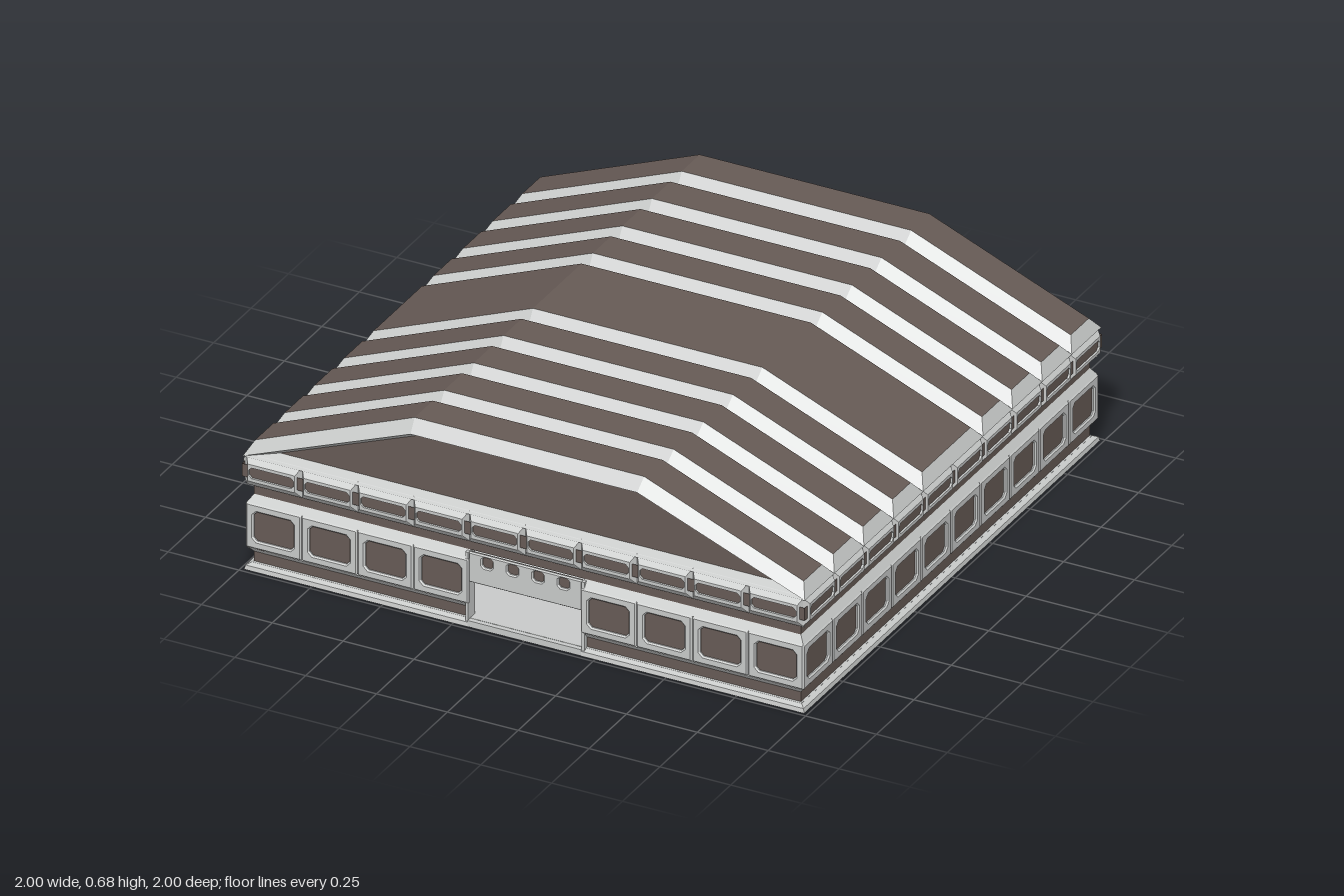
import * as THREE from 'three';

const grey = new THREE.MeshStandardMaterial({ color: 0xc8cac9, side: THREE.DoubleSide, flatShading: true });
grey.name = 'pale grey';
const brown = new THREE.MeshStandardMaterial({ color: 0x665a55, side: THREE.DoubleSide, flatShading: true });
brown.name = 'dark brown';

const DOOR = 0.2; // half width of the doorways

// Mesh made of separate four-cornered faces
function quadMesh(name, quads, mat) {
  const pos = [];
  for (const [a, b, c, d] of quads) pos.push(...a, ...b, ...c, ...a, ...c, ...d);
  const g = new THREE.BufferGeometry();
  g.setAttribute('position', new THREE.Float32BufferAttribute(pos, 3));
  g.computeVertexNormals();
  const m = new THREE.Mesh(g, mat);
  m.name = name;
  return m;
}

// Mitred wall band between two [distance, height] points, optionally leaving the doorway open
function band(name, [d0, y0], [d1, y1], mat, gap) {
  const spans = gap ? [[-d0, -DOOR, -DOOR, -d1], [DOOR, d0, d1, DOOR]] : [[-d0, d0, d1, -d1]];
  return quadMesh(name, spans.map(([a, b, c, d]) =>
    [[a, y0, d0], [b, y0, d0], [c, y1, d1], [d, y1, d1]]), mat);
}

// Rectangle with cut corners
function cutRect(Type, w, h, c, x = 0, y = 0) {
  const a = w / 2, b = h / 2;
  return new Type([[-a + c, -b], [a - c, -b], [a, -b + c], [a, b - c], [a - c, b], [-a + c, b], [-a, b - c], [-a, -b + c]]
    .map(([px, py]) => new THREE.Vector2(x + px, y + py)));
}

// Bevelled panel with holes; its front face lies at z = 0
function panelGeometry(w, h, bevel, thick, holes) {
  const s = cutRect(THREE.Shape, w - 2 * bevel, h - 2 * bevel, 0.0005);
  s.holes.push(...holes);
  const g = new THREE.ExtrudeGeometry(s, {
    depth: 0.004, bevelEnabled: true, bevelSize: bevel, bevelThickness: thick, bevelSegments: 1,
  });
  g.translate(0, 0, -0.004 - thick);
  return g;
}

function place(parent, geo, mat, name, x, y, z) {
  const m = new THREE.Mesh(geo, mat);
  m.name = name;
  m.position.set(x, y, z);
  parent.add(m);
  return m;
}

const windowPanel = panelGeometry(0.196, 0.16, 0.005, 0.005, [cutRect(THREE.Path, 0.152, 0.113, 0.015)]);
const slotHole = cutRect(THREE.Path, 0.158, 0.038, 0.01);
const slotPanel = (() => {
  const s = cutRect(THREE.Shape, 0.197, 0.11, 0.001);
  // Sloping rim around a flat slotted face
  const front = cutRect(THREE.Shape, 0.165, 0.06, 0.002);
  front.holes.push(slotHole);
  return { face: new THREE.ExtrudeGeometry(front, { depth: 0.008, bevelEnabled: false }).translate(0, 0, -0.008), rim: s.getPoints(), inner: cutRect(THREE.Shape, 0.165, 0.06, 0.002).getPoints() };
})();

function addSlotPanel(parent, x) {
  place(parent, slotPanel.face, grey, 'slotPanelFace', x, 0.357, 1);
  const { rim, inner } = slotPanel;
  const quads = [];
  for (let i = 0; i < 8; i++) {
    const j = (i + 1) % 8;
    quads.push([[rim[i].x, rim[i].y, -0.022], [rim[j].x, rim[j].y, -0.022], [inner[j].x, inner[j].y, 0], [inner[i].x, inner[i].y, 0]]);
  }
  const m = quadMesh('slotPanelRim', quads, grey);
  m.position.set(x, 0.357, 1);
  parent.add(m);
}

// One of the four walls, built facing +z
function makeWall(name, hasDoor) {
  const wall = new THREE.Group();
  wall.name = name;
  const lower = [
    ['plinth', [0.988, 0], [0.985, 0.015], grey],
    ['plinthTop', [0.985, 0.015], [0.965, 0.025], grey],
    ['lowerBand', [0.965, 0.025], [0.965, 0.06], brown],
    ['lowerSlope', [0.965, 0.06], [0.982, 0.08], grey],
    ['windowPanes', [0.975, 0.08], [0.975, 0.24], brown],
    ['upperSlope', [0.982, 0.24], [0.965, 0.265], grey],
    ['innerWall', [0.94, 0.02], [0.94, 0.265], grey],
  ];
  const upper = [
    ['upperBand', [0.965, 0.265], [0.965, 0.305], brown],
    ['corniceUnderside', [0.965, 0.302], [0.98, 0.305], grey],
    ['slotPanes', [0.993, 0.335], [0.993, 0.38], brown],
    ['corniceTop', [0.98, 0.41], [0.93, 0.415], grey],
  ];
  for (const [n, a, b, mat] of lower) wall.add(band(n, a, b, mat, hasDoor));
  for (const [n, a, b, mat] of upper) wall.add(band(n, a, b, mat, false));
  for (let i = 0; i < 10; i++) {
    const x = (i - 4.5) * 0.197;
    addSlotPanel(wall, x);
    if (!hasDoor || Math.abs(x) > DOOR) place(wall, windowPanel, grey, 'windowPanel', x, 0.16, 0.986);
  }
  return wall;
}

// Closed door with two rows of openings
function addBackDoor(wall) {
  const holes = [];
  for (const x of [-0.135, -0.045, 0.045, 0.135])
    for (const y of [-0.045, 0.062]) holes.push(cutRect(THREE.Path, 0.05, 0.052, 0.014, x, y));
  place(wall, panelGeometry(0.4, 0.262, 0.004, 0.005, holes), grey, 'backDoor', 0, 0.131, 0.985);
  place(wall, new THREE.BoxGeometry(0.39, 0.25, 0.008), brown, 'backDoorPanes', 0, 0.131, 0.972);
  const inner = new THREE.BoxGeometry(0.08, 0.085, 0.01);
  place(wall, new THREE.BoxGeometry(0.4, 0.245, 0.01), grey, 'innerDoor', 0, 0.142, 0.94);
  for (let i = 0; i < 4; i++) place(wall, inner, grey, 'innerDoorPanel', (i - 1.5) * 0.1, 0.1, 0.933);
}

// Raised door above an open entrance
function addFrontDoor(wall) {
  const holes = [-0.135, -0.045, 0.045, 0.135].map((x) => cutRect(THREE.Path, 0.045, 0.044, 0.01, x, 0.027));
  place(wall, panelGeometry(0.4, 0.108, 0.004, 0.005, holes), grey, 'raisedDoor', 0, 0.21, 0.98);
  place(wall, new THREE.BoxGeometry(0.39, 0.1, 0.008), brown, 'raisedDoorPanes', 0, 0.21, 0.967);
  place(wall, new THREE.BoxGeometry(0.4, 0.022, 0.06), grey, 'threshold', 0, 0.011, 0.957);
  for (const s of [-1, 1]) place(wall, new THREE.BoxGeometry(0.01, 0.25, 0.045), grey, 'doorJamb', s * 0.205, 0.137, 0.96);
}

const rim = [[-0.992, 0.405], [-0.4, 0.637], [0.4, 0.637], [0.992, 0.405]];
const crest = [[-0.968, 0.45], [-0.405, 0.677], [0.405, 0.677], [0.968, 0.45]];
const at = (profile, i, z) => [...profile[i], z];

// Roof rib: brown top, grey bevels at both sides and at the eaves
function makeRib(z0, z1) {
  const rib = new THREE.Group();
  rib.name = 'roofRib';
  const b = 0.038, tops = [], edges = [];
  for (let i = 0; i < 3; i++) {
    const j = i + 1;
    tops.push([at(crest, i, z1 - b), at(crest, j, z1 - b), at(crest, j, z0 + b), at(crest, i, z0 + b)]);
    edges.push([at(rim, i, z1), at(rim, j, z1), at(crest, j, z1 - b), at(crest, i, z1 - b)]);
    edges.push([at(crest, i, z0 + b), at(crest, j, z0 + b), at(rim, j, z0), at(rim, i, z0)]);
  }
  edges.push([at(rim, 3, z1), at(rim, 3, z0), at(crest, 3, z0 + b), at(crest, 3, z1 - b)]);
  edges.push([at(rim, 0, z0), at(rim, 0, z1), at(crest, 0, z1 - b), at(crest, 0, z0 + b)]);
  rib.add(quadMesh('ribTop', tops, brown), quadMesh('ribBevels', edges, grey));
  return rib;
}

// Recessed gable with its sloping surround, facing +z
function makeGable() {
  const g = new THREE.Group();
  g.name = 'gable';
  const p = [[-0.88, 0.425], [-0.388, 0.617], [0.388, 0.617], [0.88, 0.425]];
  const surround = [];
  for (let i = 0; i < 4; i++) {
    const j = (i + 1) % 4;
    surround.push([at(rim, j, 0.99), at(rim, i, 0.99), at(p, i, 0.95), at(p, j, 0.95)]);
  }
  g.add(quadMesh('gableSurround', surround, grey));
  g.add(quadMesh('gablePanel', [[3, 2, 1, 0].map((i) => at(p, i, 0.95))], brown));
  return g;
}

export function createModel() {
  const model = new THREE.Group();
  model.name = 'hall';

  ['frontWall', 'leftWall', 'backWall', 'rightWall'].forEach((name, k) => {
    const wall = makeWall(name, k % 2 === 0);
    if (k === 0) addFrontDoor(wall);
    if (k === 2) addBackDoor(wall);
    if (k % 2 === 0) wall.add(makeGable());
    wall.rotation.y = (k * Math.PI) / 2;
    model.add(wall);
  });

  const bounds = [-0.99, -0.793, -0.595, -0.397, -0.2, 0.2, 0.397, 0.595, 0.793, 0.99];
  for (let i = 0; i < 9; i++) model.add(makeRib(bounds[i], bounds[i + 1]));

  // Floor: chamfered underside plate below a square deck
  const floor = new THREE.ExtrudeGeometry(cutRect(THREE.Shape, 1.9, 1.9, 0.1), { depth: 0.012, bevelEnabled: false });
  floor.rotateX(-Math.PI / 2);
  place(model, floor, grey, 'floor', 0, 0.004, 0);
  place(model, new THREE.BoxGeometry(1.94, 0.006, 1.94), grey, 'floorDeck', 0, 0.02, 0);
  return model;
}
